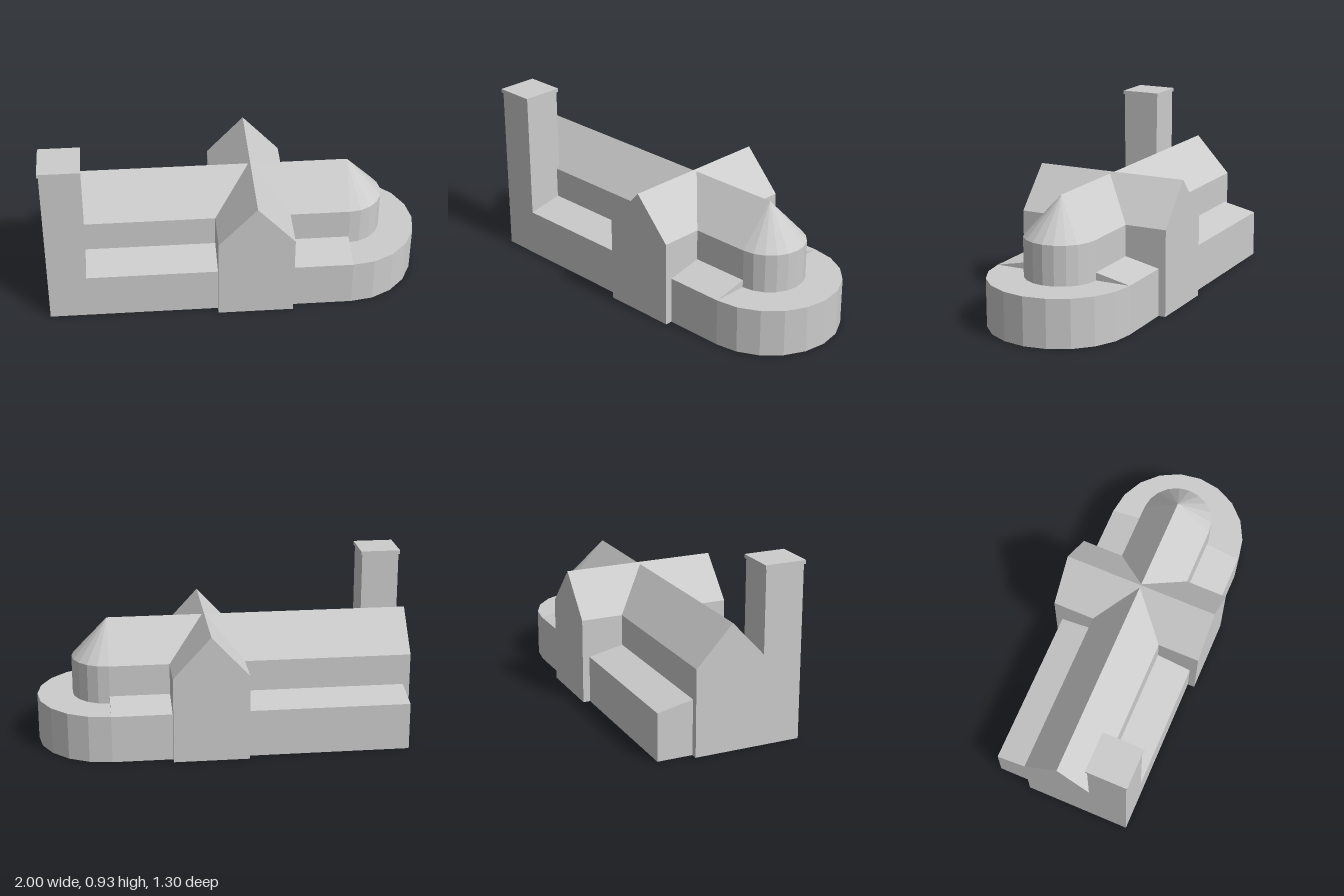
import * as THREE from 'three';

const NAVE = 0.19, AISLE = 0.377, EAVE = 0.455, RIDGE = 0.66;
const WEST = -1.077, EAST = 0.511, CROSS = 0.197;
const LOW = 0.25, LEAN = 0.29, APSE_SIDES = 10;

export function createModel() {
  const stone = new THREE.MeshStandardMaterial({ color: 0xcccccc, flatShading: true, side: THREE.DoubleSide });
  stone.name = 'pale grey stone';

  const model = new THREE.Group();
  model.name = 'church';
  // The long axis is laid along x, then turned into place
  const body = new THREE.Group();
  body.name = 'churchBody';
  body.rotation.y = -Math.atan(0.4);
  body.position.set(0.15, 0, 0.085);
  model.add(body);

  function add(name, geometry, x = 0, y = 0, z = 0) {
    const mesh = new THREE.Mesh(geometry, stone);
    mesh.name = name;
    mesh.position.set(x, y, z);
    body.add(mesh);
    return mesh;
  }

  // Hollow block: a [z, y] section run from x0 to x1, leaving out the floor
  function shell(section, x0, x1) {
    const shape = new THREE.Shape(section.map(([z, y]) => new THREE.Vector2(-z, y)));
    const extruded = new THREE.ExtrudeGeometry(shape, { depth: x1 - x0, bevelEnabled: false });
    const solid = extruded.index ? extruded.toNonIndexed() : extruded;
    solid.rotateY(Math.PI / 2).translate(x0, 0, 0);
    const p = solid.attributes.position;
    const kept = [];
    for (let i = 0; i < p.count; i += 3) {
      if (Math.max(p.getY(i), p.getY(i + 1), p.getY(i + 2)) < 1e-4) continue;
      for (let j = i; j < i + 3; j++) kept.push(p.getX(j), p.getY(j), p.getZ(j));
    }
    const geometry = new THREE.BufferGeometry();
    geometry.setAttribute('position', new THREE.Float32BufferAttribute(kept, 3));
    geometry.computeVertexNormals();
    return geometry;
  }

  const gable = (half, ridge) => [[-half, 0], [half, 0], [half, EAVE], [0, ridge], [-half, EAVE]];

  // Nave with chancel, crossed by the slightly taller transept
  add('nave', shell(gable(NAVE, RIDGE), WEST, EAST));
  add('transept', shell(gable(CROSS, 0.67), -0.415, 0.415)).rotation.y = Math.PI / 2;

  // Lean-to aisles on both sides, west and east of the transept
  for (const side of [-1, 1]) {
    const lean = [[NAVE, 0], [AISLE, 0], [AISLE, LOW], [NAVE, LEAN]].map(([z, y]) => [z * side, y]);
    const label = side > 0 ? 'front' : 'back';
    add(label + 'NaveAisle', shell(lean, side > 0 ? -0.878 : -1.042, -CROSS));
    add(label + 'ChancelAisle', shell(lean, CROSS, EAST));
  }

  // Corner tower with a thin overhanging cap
  add('tower', shell([[0.172, 0], [AISLE, 0], [AISLE, 0.905], [0.172, 0.905]], WEST, -0.878));
  add('towerCap', new THREE.BoxGeometry(0.213, 0.02, 0.219), (WEST - 0.878) / 2, 0.915, (0.172 + AISLE) / 2);

  // Rounded apse with half-cone roof
  const halfRound = (top, bottom, h) =>
    new THREE.CylinderGeometry(top, bottom, h, APSE_SIDES, 1, true, 0, Math.PI);
  add('apseWall', halfRound(NAVE, NAVE, EAVE), EAST, EAVE / 2);
  add('apseRoof', halfRound(0, NAVE, RIDGE - EAVE), EAST, (RIDGE + EAVE) / 2);

  // Low walkway around the apse
  add('ambulatoryWall', halfRound(AISLE, AISLE, LOW), EAST, LOW / 2);
  const flatRoof = new THREE.RingGeometry(NAVE, AISLE, APSE_SIDES, 1, -Math.PI / 2, Math.PI);
  add('ambulatoryRoof', flatRoof.rotateX(-Math.PI / 2), EAST, LOW);

  return model;
}
